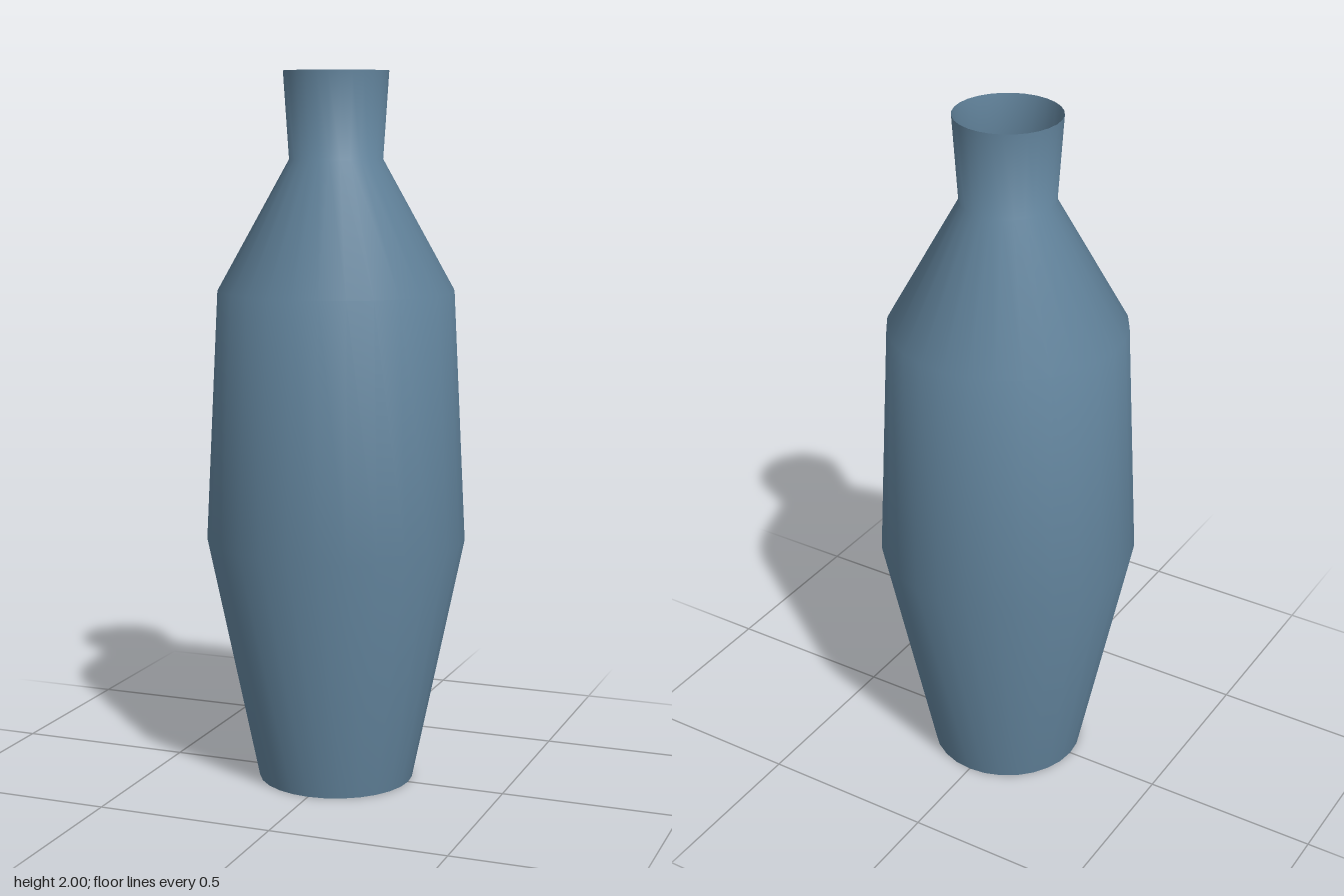
import * as THREE from 'three';

export function createModel() {
  const group = new THREE.Group();
  group.name = 'vase';
  const glaze = new THREE.MeshStandardMaterial({ color: 0x64869f, side: THREE.DoubleSide });
  glaze.name = 'blue grey glaze';
  const segments = 28;

  // Thin open wall: tapered foot, belly, shoulder, neck and flared rim
  const profile = [
    [0.22, 0], [0.365, 0.7], [0.33, 1.4], [0.13, 1.76], [0.146, 2],
  ].map(([r, y]) => new THREE.Vector2(r, y));
  const wall = new THREE.Mesh(new THREE.LatheGeometry(profile, segments), glaze);
  wall.name = 'vaseWall';
  group.add(wall);

  // Flat floor, seen from below and through the open neck
  const floor = new THREE.Mesh(new THREE.CircleGeometry(0.22, segments), glaze);
  floor.name = 'vaseFloor';
  floor.rotation.x = Math.PI / 2;
  group.add(floor);

  return group;
}
